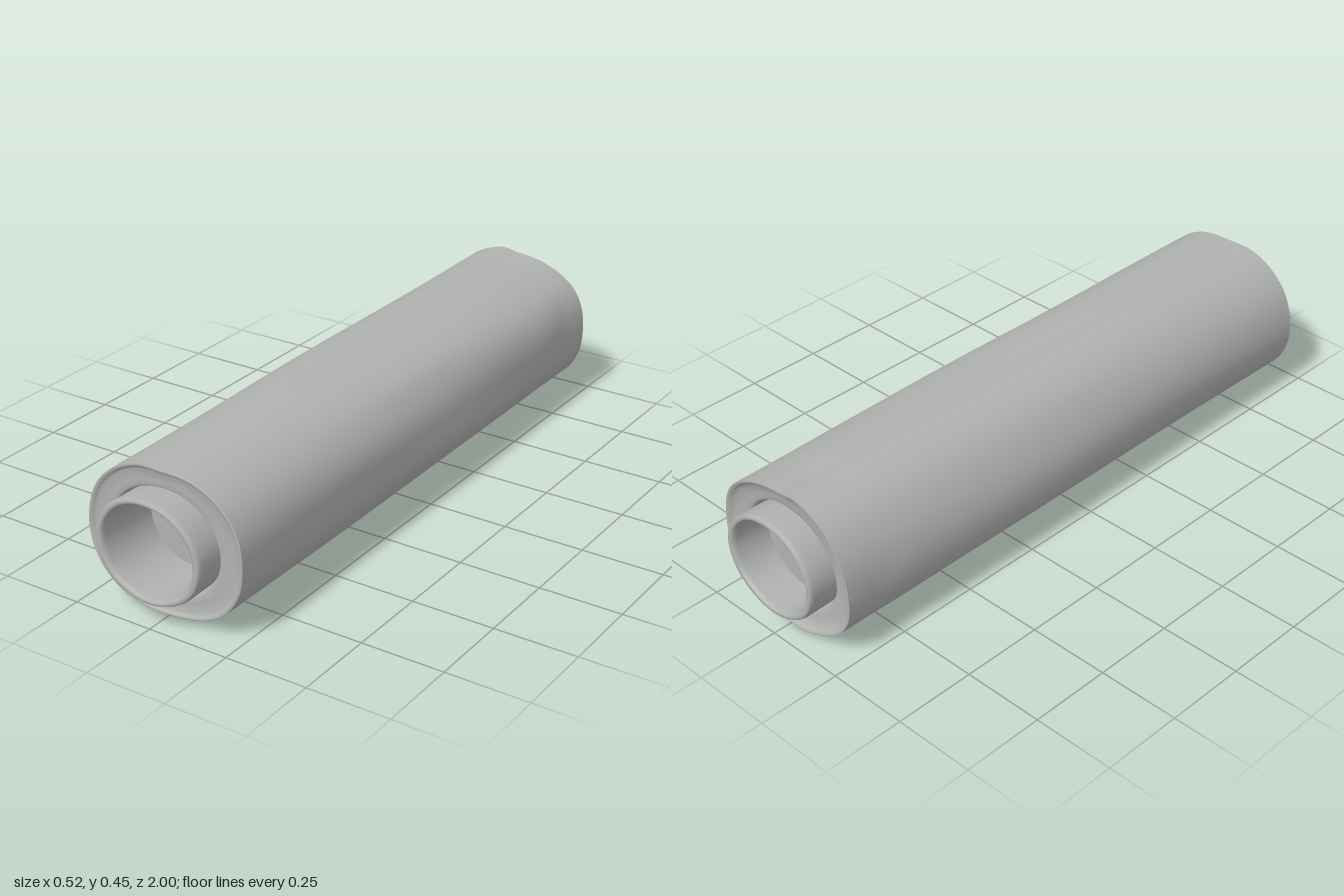
import * as THREE from 'three';

const SEG = 96, CY = 0.225;

// Outer cross-sections of the wrapped body, counter-clockwise from the left side (+x)
const frontOutline = [[.258, .23], [.25, .3], [.22, .36], [.17, .405], [.1, .434], [0, .44], [-.08, .437], [-.16, .4],
  [-.22, .335], [-.249, .24], [-.24, .15], [-.2, .08], [-.14, .035], [-.06, .012], [.04, .014], [.14, .036], [.2, .075], [.247, .15]];
const middleOutline = [[.252, .23], [.246, .3], [.222, .355], [.18, .4], [.1, .433], [0, .443], [-.07, .446], [-.16, .405],
  [-.222, .33], [-.254, .24], [-.243, .14], [-.2, .08], [-.14, .04], [-.06, .006], [.04, .011], [.14, .035], [.205, .08], [.25, .16]];
const backOutline = [[.25, .23], [.24, .305], [.21, .36], [.16, .4], [.08, .432], [0, .443], [-.06, .45], [-.16, .41],
  [-.225, .33], [-.252, .24], [-.247, .15], [-.205, .08], [-.14, .036], [-.05, .002], [.03, .006], [.13, .035], [.2, .08], [.24, .15]];

const smooth = t => t * t * (3 - 2 * t);

function sample(points) {
  const curve = new THREE.CatmullRomCurve3(points.map(([x, y]) => new THREE.Vector3(x, y, 0)), true);
  return Array.from({ length: SEG }, (_, i) => curve.getPoint(i / SEG));
}

function ellipse(rx, ry, z, wobble = 0) {
  return Array.from({ length: SEG }, (_, i) => {
    const a = i / SEG * Math.PI * 2;
    const w = 1 + wobble * (Math.sin(3 * a + 1) + 0.6 * Math.sin(7 * a));
    return new THREE.Vector3(rx * w * Math.cos(a), CY + ry * w * Math.sin(a), z);
  });
}

// Skin a row of closed rings
function loft(name, rings, material, flip = false) {
  const pos = [], index = [];
  rings.forEach(r => r.forEach(p => pos.push(p.x, p.y, p.z)));
  for (let i = 0; i < rings.length - 1; i++) for (let j = 0; j < SEG; j++) {
    const k = (j + 1) % SEG;
    const a = i * SEG + j, b = i * SEG + k, c = b + SEG, d = a + SEG;
    if (flip) index.push(a, c, b, a, d, c);
    else index.push(a, b, c, a, c, d);
  }
  const geo = new THREE.BufferGeometry();
  geo.setAttribute('position', new THREE.Float32BufferAttribute(pos, 3));
  geo.setIndex(index);
  geo.computeVertexNormals();
  const mesh = new THREE.Mesh(geo, material);
  mesh.name = name;
  return mesh;
}

export function createModel() {
  const group = new THREE.Group();
  group.name = 'wrappedRoll';
  const grey = new THREE.MeshStandardMaterial({ color: 0xb0b2b0 });
  grey.name = 'plain grey';

  const front = sample(frontOutline), middle = sample(middleOutline), back = sample(backOutline);
  const zBack = -0.94, zFront = 0.93;

  // Wrapping with shallow wandering creases that fade out at both ends
  const bodyRing = t => {
    const z = THREE.MathUtils.lerp(zBack, zFront, t);
    return middle.map((m, j) => {
      const a = j / SEG * Math.PI * 2;
      const p = t < 0.5 ? back[j].clone().lerp(m, smooth(t * 2)) : m.clone().lerp(front[j], smooth(t * 2 - 1));
      const fade = Math.sin(Math.PI * t);
      const s = 1 + fade * (0.009 * Math.sin(2 * a + 5 * t) + 0.006 * Math.sin(5 * a - 9 * t))
        - 0.025 * Math.exp(-(((t - 0.06) / 0.035) ** 2)) * (0.5 + 0.5 * Math.sin(4 * a + 1));
      return new THREE.Vector3(p.x * s, CY + (p.y - CY) * s, z);
    });
  };
  group.add(loft('wrapping', Array.from({ length: 49 }, (_, i) => bodyRing(i / 48)), grey));

  // Both ends: layered face with a raised lip and a groove round the core, then the hollow core
  const ends = [
    { side: 1, name: 'front', outline: bodyRing(1), z: zFront, floor: 0.8,
      face: [[0, 0], [.06, .003], [.14, -.002], [.22, -.009], [.6, -.01], [.8, -.008], [.87, -.014], [.93, -.03], [1, -.035]] },
    { side: -1, name: 'back', outline: bodyRing(0), z: zBack, floor: 0.88,
      face: [[0, 0], [.06, .002], [.14, -.004], [.25, -.016], [.6, -.022], [.8, -.02], [.88, -.028], [.94, -.04], [1, -.045]] },
  ];
  for (const { side, name, outline, z, floor, face } of ends) {
    const flip = side < 0;
    const inner = ellipse(0.166, 0.146, z);
    const faceRings = face.map(([t, dz]) => outline.map((p, j) => {
      const q = p.clone().lerp(inner[j], t);
      q.z = z + side * dz;
      return q;
    }));
    group.add(loft(name + 'EndFace', faceRings, grey, flip));

    // Core tube wall, rounded rim and inside wall
    const wall = [[.171, .151, .86], [.172, .152, .95], [.173, .153, .985], [.171, .151, .995], [.167, .148, 1],
      [.156, .141, 1], [.15, .137, .996], [.147, .134, .985], [.145, .132, .93], [.143, .13, floor]];
    group.add(loft(name + 'Core', wall.map(([rx, ry, d]) => ellipse(rx, ry, side * d, 0.005)), grey, flip));

    // Floor of the hollow
    const disc = [[.146, .133], [.07, .065], [.0001, .0001]].map(([rx, ry]) => ellipse(rx, ry, side * floor));
    group.add(loft(name + 'CoreFloor', disc, grey, flip));
  }
  return group;
}
